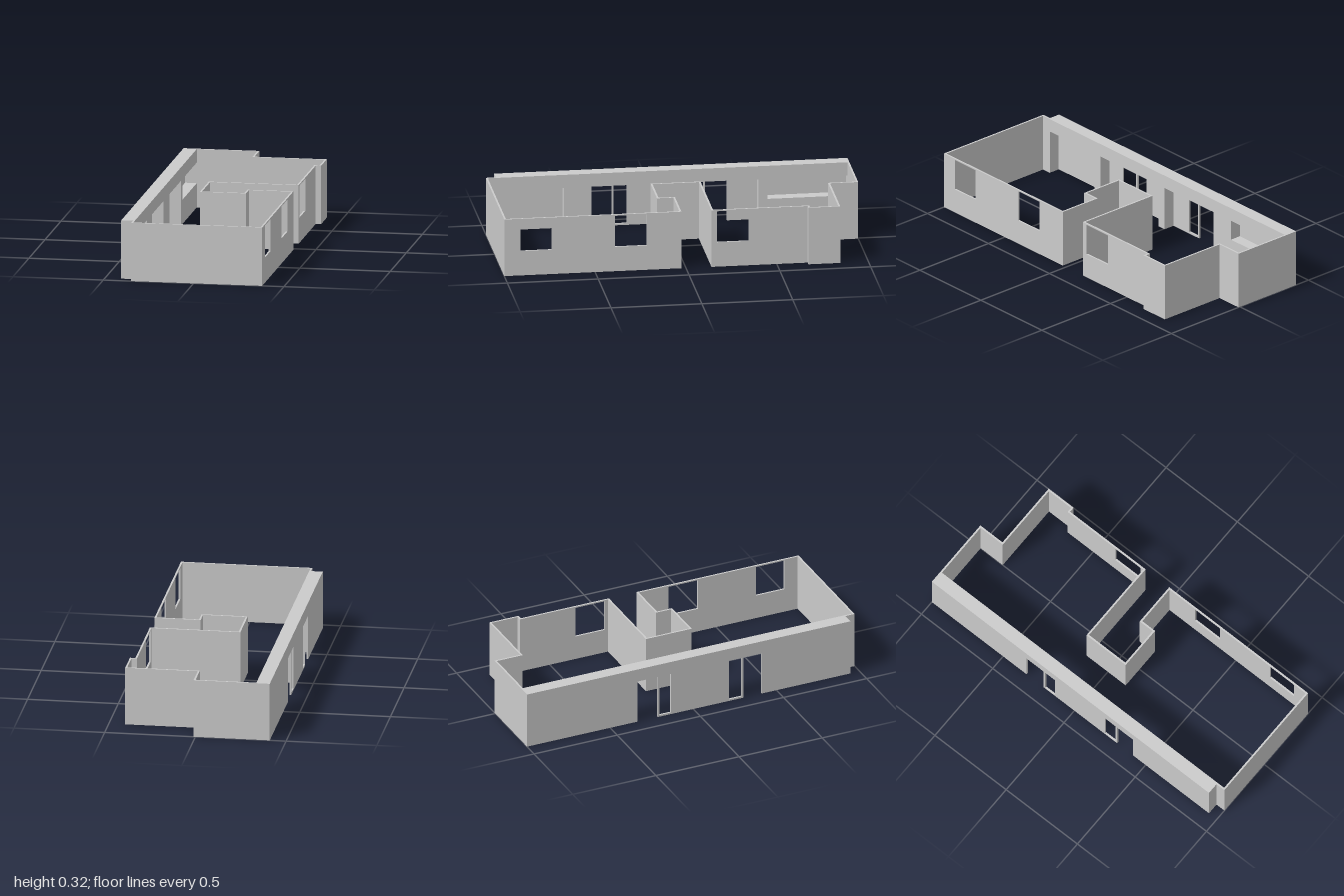
import * as THREE from 'three';

const H = 0.325;   // wall height
const T = 0.01;    // wall thickness
const HEAD = 0.25; // underside of the header beam

const material = new THREE.MeshStandardMaterial({ color: 0xcccccc, flatShading: true });

function addMesh(group, name, geometry) {
  const mesh = new THREE.Mesh(geometry, material);
  mesh.name = name;
  group.add(mesh);
  return mesh;
}

function addBox(group, name, [x0, x1], [y0, y1], [z0, z1]) {
  const mesh = addMesh(group, name, new THREE.BoxGeometry(x1 - x0, y1 - y0, z1 - z0));
  mesh.position.set((x0 + x1) / 2, (y0 + y1) / 2, (z0 + z1) / 2);
}

// Plain wall following right-angled outer plan points [x, z]; thickness goes to the room side
function addWallRun(group, name, points) {
  const normals = points.slice(1).map(([x, z], i) =>
    [-Math.sign(z - points[i][1]), Math.sign(x - points[i][0])]);
  const inner = points.map(([x, z], i) => {
    const a = normals[i - 1] ?? [0, 0];
    const b = normals[i] ?? [0, 0];
    return [x + T * (a[0] + b[0]), z + T * (a[1] + b[1])];
  });
  const ring = [...points, ...inner.reverse()].map(([x, z]) => new THREE.Vector2(x, -z));
  const geometry = new THREE.ExtrudeGeometry(new THREE.Shape(ring), { depth: H, bevelEnabled: false });
  addMesh(group, name, geometry.rotateX(-Math.PI / 2));
}

// Long wall along z with rectangular openings [z0, z1, y0, y1] and floor-level doorways [z0, z1]
function addSideWall(group, name, xMax, z0, z1, openings, doorways = []) {
  const shape = new THREE.Shape().moveTo(z0, 0);
  for (const [a, b] of doorways) shape.lineTo(a, 0).lineTo(a, HEAD).lineTo(b, HEAD).lineTo(b, 0);
  shape.lineTo(z1, 0).lineTo(z1, H).lineTo(z0, H).closePath();
  for (const [a, b, y0, y1] of openings) {
    shape.holes.push(new THREE.Path().moveTo(a, y0).lineTo(a, y1).lineTo(b, y1).lineTo(b, y0).closePath());
  }
  const geometry = new THREE.ExtrudeGeometry(shape, { depth: T, bevelEnabled: false });
  addMesh(group, name, geometry.rotateY(-Math.PI / 2).translate(xMax, 0, 0));
}

export function createModel() {
  const house = new THREE.Group();
  house.name = 'houseWalls';

  // Stepped rear walls, entrance recess and front wall
  addWallRun(house, 'rearWall', [
    [-0.41, -1], [0.01, -1], [0.01, -0.845], [0.41, -0.845], [0.41, -0.67], [0.37, -0.67]]);
  addWallRun(house, 'recessWall', [
    [0.37, -0.14], [-0.11, -0.14], [-0.11, 0.115], [0.125, 0.115], [0.125, 0.025], [0.37, 0.025]]);
  addWallRun(house, 'frontWall', [
    [0.37, 1], [-0.345, 1], [-0.345, 0.945], [-0.41, 0.945]]);

  // Window walls
  addSideWall(house, 'rearWindowWall', 0.38, -0.67, -0.14, [[-0.345, -0.17, 0.14, 0.318]]);
  addSideWall(house, 'frontWindowWall', 0.38, 0.025, 1,
    [[0.215, 0.39, 0.14, 0.318], [0.74, 0.91, 0.14, 0.318]]);

  // Door wall: two doorways, each with a narrow sidelight
  addSideWall(house, 'doorWall', -0.40, -0.99, 0.935,
    [[-0.205, -0.135, 0.01, HEAD], [0.215, 0.29, 0.01, HEAD]],
    [[-0.335, -0.215], [0.30, 0.41]]);

  // Header beam, piers below it and the low ledge at the back
  const depth = [-0.40, -0.335];
  addBox(house, 'headerBeam', depth, [HEAD, H], [-0.99, 0.945]);
  for (const z of [0.545, 0.02, -0.525]) {
    addBox(house, 'pier', depth, [0, HEAD], [z - 0.025, z + 0.025]);
  }
  addBox(house, 'ledge', depth, [0, 0.135], [-0.99, -0.55]);

  return house;
}
